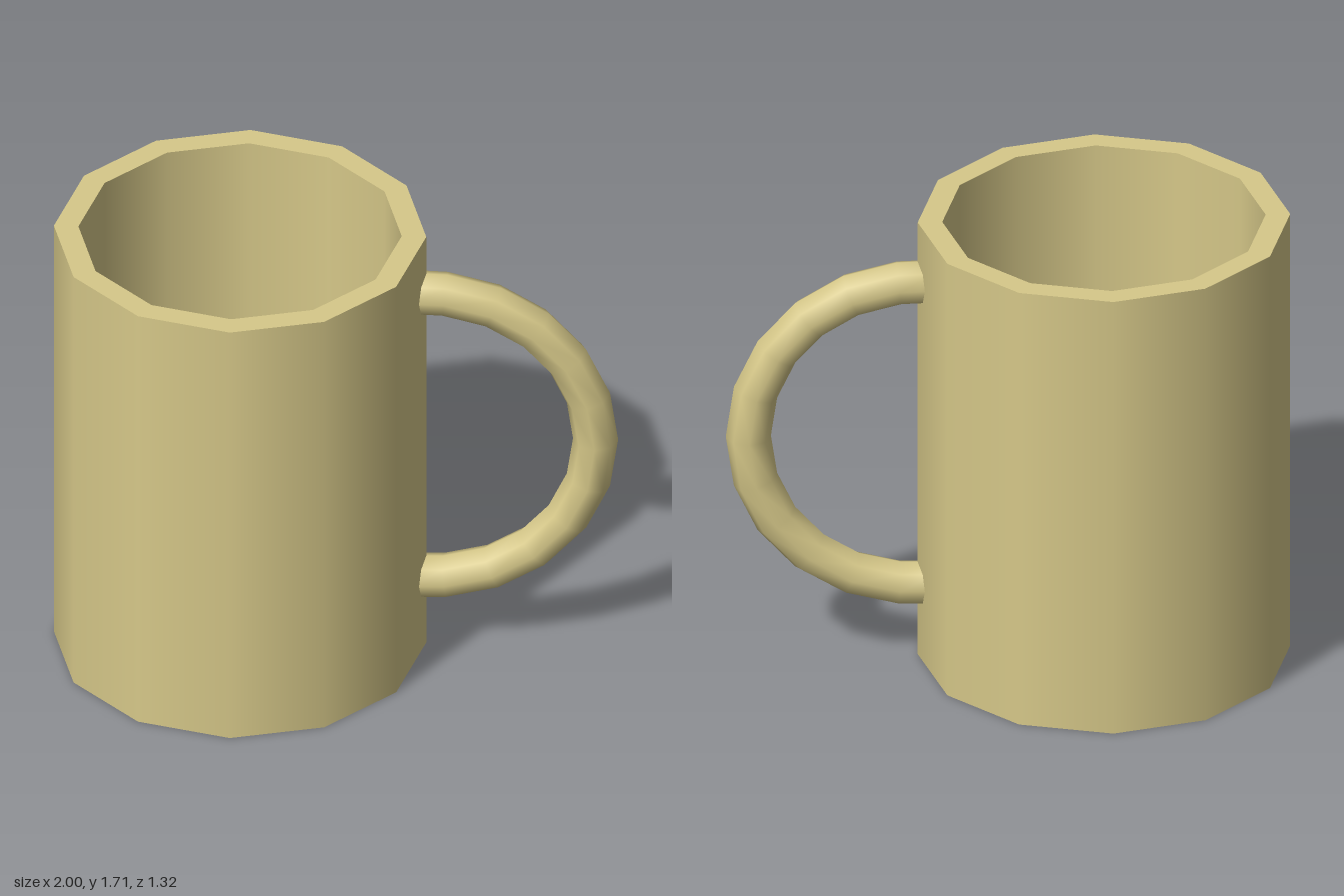
import * as THREE from 'three';

export function createModel() {
  const mug = new THREE.Group();
  mug.name = 'mug';
  const ceramic = new THREE.MeshStandardMaterial({ color: 0xd6c889 });
  ceramic.name = 'cream ceramic';

  // Twelve-sided body: one lathe per profile segment keeps the rim edges sharp
  const profile = [[0, 0], [0.66, 0], [0.66, 1.71], [0.573, 1.71], [0.573, 0.09], [0, 0.09]];
  const names = ['base', 'outerWall', 'rim', 'innerWall', 'innerFloor'];
  const body = new THREE.Group();
  body.name = 'body';
  names.forEach((name, i) => {
    const points = [profile[i], profile[i + 1]].map(([r, y]) => new THREE.Vector2(r, y));
    const part = new THREE.Mesh(new THREE.LatheGeometry(points, 12), ceramic);
    part.name = name;
    body.add(part);
  });
  body.position.x = -0.34;
  mug.add(body);

  // Handle: half ring whose two end loops are straightened into the wall
  const sides = 8, steps = 12, step = THREE.MathUtils.degToRad(16.8);
  const R = 0.596, r = 0.08;
  const ring = new THREE.TorusGeometry(R, r, sides, steps, steps * step);
  ring.rotateZ(-steps * step / 2);
  const pos = ring.attributes.position;
  for (let j = 0; j <= sides; j++) {
    const y = R + r * Math.cos(j / sides * Math.PI * 2);
    pos.setXY(j * (steps + 1), -0.06, -y);
    pos.setXY(j * (steps + 1) + steps, -0.06, y);
  }
  const handle = new THREE.Mesh(ring, ceramic);
  handle.name = 'handle';
  handle.position.set(0.324, 0.88, 0);
  mug.add(handle);

  return mug;
}
